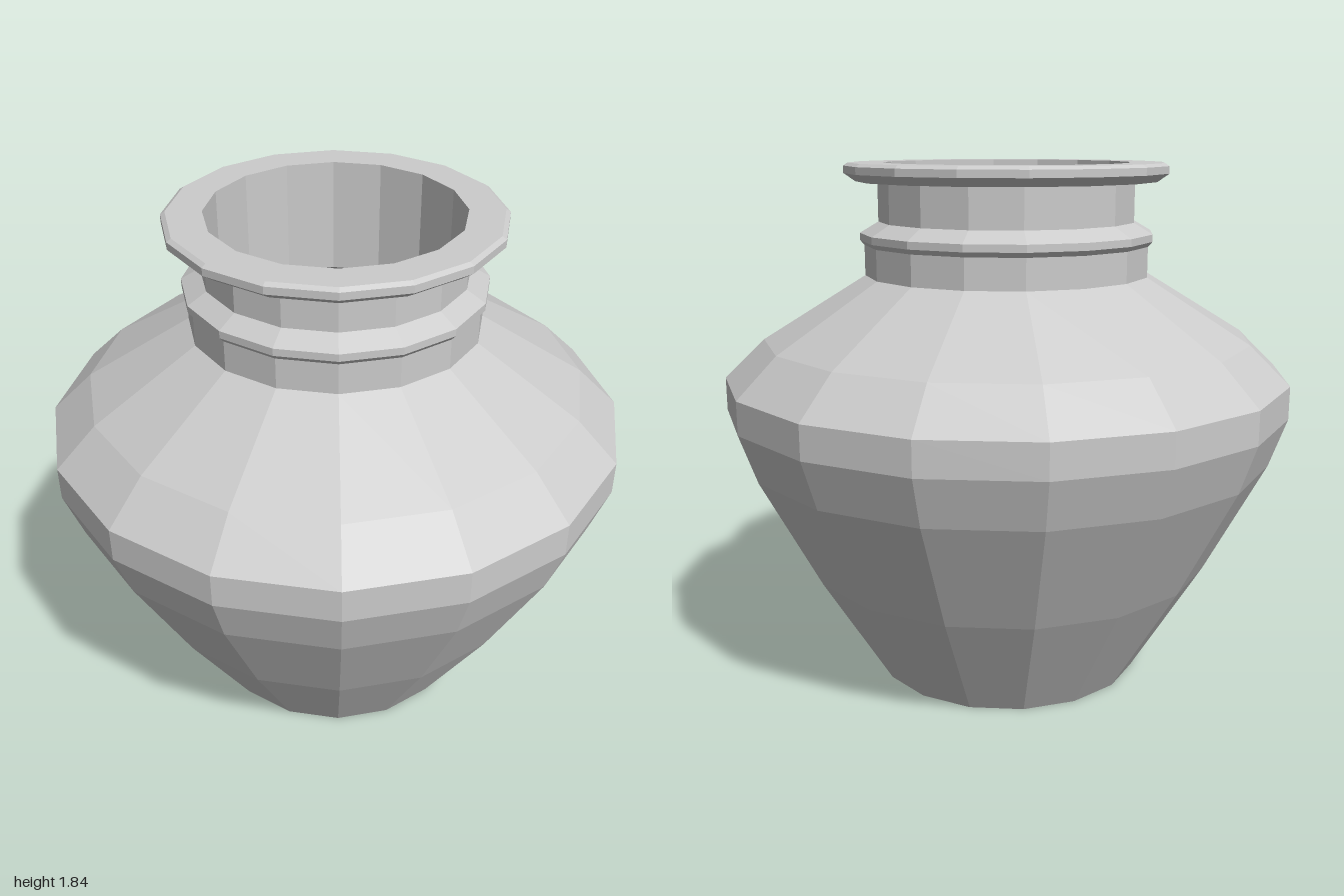
import * as THREE from 'three';

const SIDES = 16;

export function createModel() {
  const group = new THREE.Group();
  group.name = 'pot';
  const material = new THREE.MeshStandardMaterial({ color: 0xcccccc, flatShading: true });

  // Each part turns a profile of [radius, height] points, outer side running upward
  const turn = (name, profile) => {
    const points = profile.map(([r, y]) => new THREE.Vector2(r, y));
    const mesh = new THREE.Mesh(new THREE.LatheGeometry(points, SIDES), material);
    mesh.name = name;
    group.add(mesh);
  };

  // Recessed base with a narrow foot ring
  turn('base', [[0, 0.02], [0.45, 0.02], [0.45, 0], [0.48, 0]]);

  // Tapered belly and sloping shoulder
  turn('body', [
    [0.48, 0], [0.73, 0.41], [0.94, 0.81], [1, 0.98],
    [1, 1.095], [0.86, 1.23], [0.5, 1.45],
  ]);

  // Neck with a raised collar
  turn('neck', [
    [0.5, 1.45], [0.5, 1.555], [0.515, 1.572], [0.515, 1.597],
    [0.45, 1.635], [0.45, 1.772],
  ]);

  // Flared lip
  turn('rim', [
    [0.45, 1.772], [0.525, 1.772], [0.565, 1.8], [0.565, 1.825],
    [0.55, 1.835], [0.43, 1.835],
  ]);

  // Hollow inside, from the mouth down to the floor
  turn('interior', [
    [0.43, 1.835], [0.43, 1.43], [0.83, 1.21], [0.97, 1.08],
    [0.97, 0.99], [0.91, 0.82], [0.7, 0.42], [0.46, 0.04], [0, 0.04],
  ]);

  return group;
}
